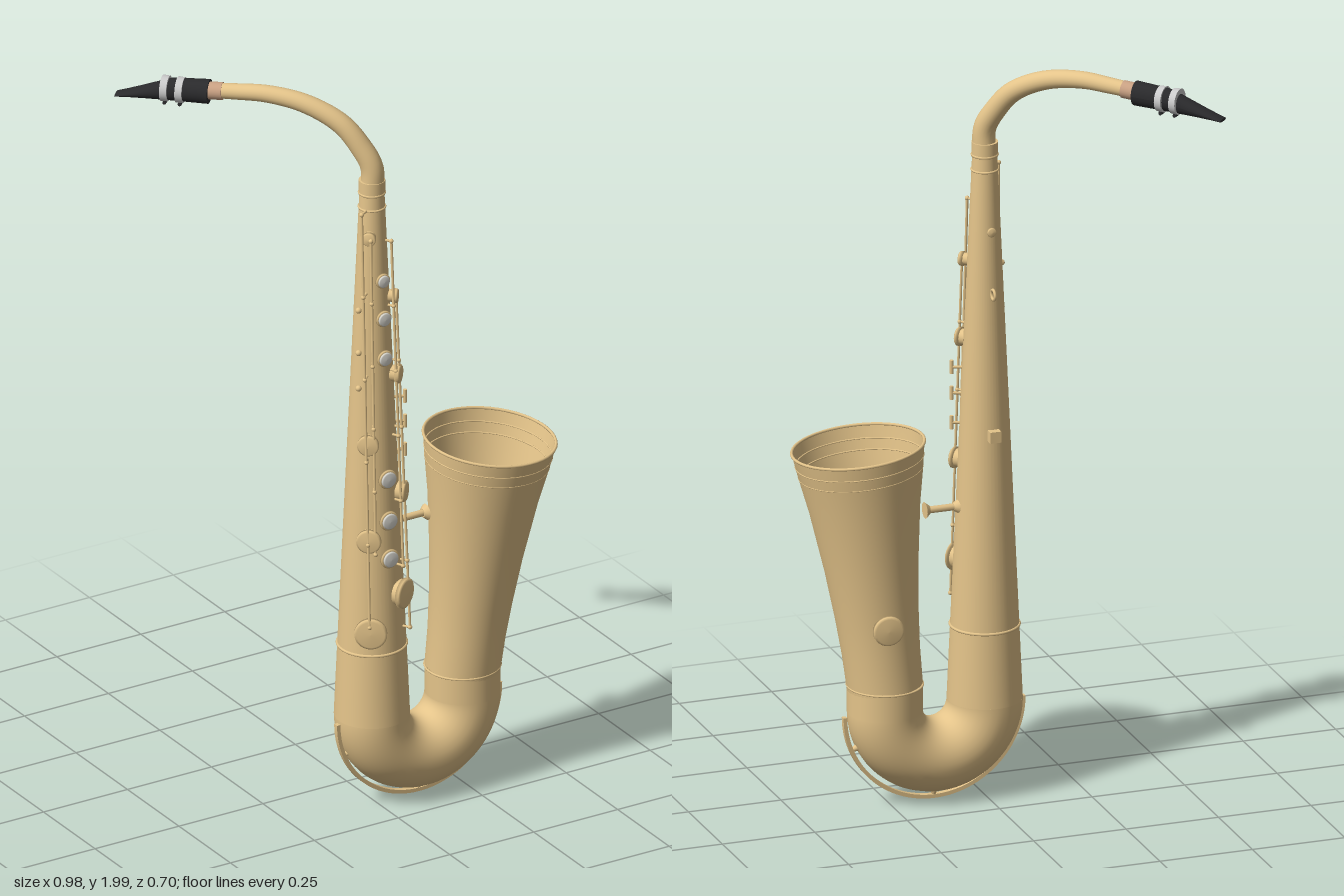
import * as THREE from 'three';

const BRASS = new THREE.MeshStandardMaterial({ color: 0xe4c48a, side: THREE.DoubleSide });
const BLACK = new THREE.MeshStandardMaterial({ color: 0x2a2a2c });
const SILVER = new THREE.MeshStandardMaterial({ color: 0xc4c6c6 });
const CORK = new THREE.MeshStandardMaterial({ color: 0xc9a183 });
const PEARL = new THREE.MeshStandardMaterial({ color: 0xdcdad2 });

const V = (x, y, z) => new THREE.Vector3(x, y, z);
const UP = V(0, 1, 0);
const BX = -0.01, BZ = 0.138; // body axis
const Y0 = 0.26, Y1 = 1.73, R0 = 0.097, R1 = 0.032;
const bodyR = y => R0 + (R1 - R0) * (y - Y0) / (Y1 - Y0);

export function createModel() {
  const root = new THREE.Group();

  const add = (name, geo, mat = BRASS, parent = root) => {
    const m = new THREE.Mesh(geo, mat);
    m.name = name;
    parent.add(m);
    return m;
  };
  // Straight bar between two points
  const bar = (name, a, b, r, r2 = r, mat = BRASS, seg = 10) => {
    const m = add(name, new THREE.CylinderGeometry(r2, r, a.distanceTo(b), seg), mat);
    m.position.copy(a).lerp(b, 0.5);
    m.quaternion.setFromUnitVectors(UP, b.clone().sub(a).normalize());
    return m;
  };
  const ball = (name, p, r, mat = BRASS) => add(name, new THREE.SphereGeometry(r, 12, 8), mat).position.copy(p);
  const hoop = (name, p, axis, r, t) => {
    const m = add(name, new THREE.TorusGeometry(r, t, 8, 48));
    m.position.copy(p);
    m.quaternion.setFromUnitVectors(V(0, 0, 1), axis);
  };
  // Shallow domed disc facing along n
  const disc = (name, p, n, r, h, mat = BRASS) => {
    const prof = [[0, 0], [r, 0], [r, h * 0.65], [r * 0.85, h * 0.9], [0, h]].map(q => new THREE.Vector2(...q));
    const m = add(name, new THREE.LatheGeometry(prof, 24), mat);
    m.position.copy(p);
    m.quaternion.setFromUnitVectors(UP, n);
  };

  // Conical body
  const body = add('body', new THREE.CylinderGeometry(R1, R0, Y1 - Y0, 48, 1, true));
  body.position.set(BX, (Y0 + Y1) / 2, BZ);
  for (const [y, t] of [[0.46, 0.004], [1.69, 0.003], [1.73, 0.004]])
    hoop('bodyRing', V(BX, y, BZ), UP, bodyR(y), t);

  // U-shaped bow
  const bow = add('bow', new THREE.TorusGeometry(0.135, R0, 32, 48, Math.PI));
  bow.rotation.z = Math.PI;
  bow.position.set(0.125, Y0, BZ);
  const collar = add('bowCollar', new THREE.CylinderGeometry(R0, R0, 0.075, 48, 1, true));
  collar.position.set(0.26, 0.295, BZ);
  hoop('bellRing', V(0.26, 0.33, BZ), UP, R0, 0.003);

  // Flared bell, leaning outward
  const bellA = V(0.26, 0.325, BZ), bellB = V(0.32, 0.967, 0.172);
  const bellDir = bellB.clone().sub(bellA), bellLen = bellDir.length();
  bellDir.normalize();
  const flare = [[0, R0], [0.15, 0.1], [0.3, 0.107], [0.5, 0.12], [0.75, 0.142], [0.9, 0.16], [1, 0.17]];
  const bell = add('bell', new THREE.LatheGeometry(flare.map(([t, r]) => new THREE.Vector2(r, t * bellLen)), 64));
  bell.position.copy(bellA);
  bell.quaternion.setFromUnitVectors(UP, bellDir);
  for (const [t, r, w] of [[1, 0.17, 0.004], [0.945, 0.164, 0.002], [0.9, 0.159, 0.002]])
    hoop('bellRimRing', bellA.clone().lerp(bellB, t), bellDir, r, w);

  // Key cup at the back of the bell
  disc('bellKeyCup', V(0.285, 0.51, 0.046), V(0.1, -0.05, -1).normalize(), 0.04, 0.016);

  // Brace between body and bell
  bar('bellBrace', V(0.04, 0.785, BZ), V(0.15, 0.785, BZ), 0.009);
  bar('braceFlange', V(0.14, 0.785, BZ), V(0.152, 0.785, BZ), 0.012, 0.022);
  bar('braceFlange', V(0.075, 0.785, BZ), V(0.06, 0.785, BZ), 0.01, 0.02);

  // Guard strip under the bow with its posts
  const strip = new THREE.Shape();
  strip.absarc(0, 0, 0.246, Math.PI, 2 * Math.PI, false);
  strip.absarc(0, 0, 0.236, 2 * Math.PI, Math.PI, true);
  const guard = add('bowGuard', new THREE.ExtrudeGeometry(strip, { depth: 0.014, bevelEnabled: false, curveSegments: 40 }));
  guard.position.set(0.128, 0.252, BZ - 0.007);
  for (const a of [-2.75, -Math.PI / 2, -0.39]) {
    const at = r => V(0.128 + r * Math.cos(a), 0.252 + r * Math.sin(a), BZ);
    bar('guardPost', at(0.215), at(0.24), 0.012, 0.005);
  }

  // Curved neck, tapering along its length
  const across = (s, y) => V(BX - 0.7 * s, y, BZ - 0.714 * s);
  const path = new THREE.CatmullRomCurve3([[0, 1.72], [0, 1.8], [0.03, 1.855], [0.08, 1.912], [0.17, 1.957],
    [0.27, 1.974], [0.36, 1.971], [0.45, 1.965]].map(q => across(...q)));
  const N = 40, M = 24;
  const neckGeo = new THREE.TubeGeometry(path, N, 1, M);
  const pos = neckGeo.attributes.position, v = V(0, 0, 0);
  for (let i = 0; i <= N; i++) {
    const c = path.getPointAt(i / N);
    for (let j = 0; j <= M; j++) {
      const k = i * (M + 1) + j;
      v.fromBufferAttribute(pos, k).sub(c).multiplyScalar(0.031 - 0.012 * i / N).add(c);
      pos.setXYZ(k, v.x, v.y, v.z);
    }
  }
  add('neck', neckGeo);
  bar('neckSocket', V(BX, 1.725, BZ), V(BX, 1.765, BZ), 0.034, 0.034, BRASS, 32);
  bar('cork', across(0.39, 1.968), across(0.45, 1.965), 0.023, 0.023, CORK, 24);

  // Mouthpiece: a round shank flattening into a beak
  const mouth = new THREE.Group();
  mouth.name = 'mouthpiece';
  mouth.position.copy(across(0.425, 1.963));
  mouth.rotation.y = 2.346;
  root.add(mouth);
  const L = 0.245;
  const beak = new THREE.CylinderGeometry(1, 1, 1, 28, 12);
  const bp = beak.attributes.position;
  for (let i = 0; i < bp.count; i++) {
    const t = 0.5 - bp.getY(i);
    const top = t < 0.4 ? 0.032 - 0.015 * t : 0.026 - 0.057 * (t - 0.4) / 0.6;
    const low = -0.032 - 0.006 * t;
    const w = 0.031 - 0.013 * t;
    bp.setXYZ(i, t * L, (top + low) / 2 + bp.getX(i) * (top - low) / 2, bp.getZ(i) * w);
  }
  beak.computeVertexNormals();
  add('mouthpieceBody', beak, BLACK, mouth);
  for (const x of [0.075, 0.115]) {
    const band = add('ligatureBand', new THREE.CylinderGeometry(0.033, 0.034, 0.018, 28), SILVER, mouth);
    band.rotation.z = Math.PI / 2;
    band.position.set(x, -0.004, 0);
    const screw = add('ligatureScrew', new THREE.CylinderGeometry(0.005, 0.005, 0.03, 10), BLACK, mouth);
    screw.rotation.x = Math.PI / 2;
    screw.position.set(x, -0.039, 0);
  }

  // Key cups and finger pearls on the front: x, y, radius
  const onFront = (x, y, h) => {
    const r = bodyR(y), a = Math.asin(Math.max(-0.95, Math.min(0.95, (x - BX) / (r + h))));
    const n = V(Math.sin(a), 0, Math.cos(a));
    return { n, base: V(BX, y, BZ).addScaledVector(n, r - 0.004), p: V(BX, y, BZ).addScaledVector(n, r + h) };
  };
  const cups = [[-0.04, 1.62, 0.018], [0.033, 1.44, 0.019], [0.035, 1.225, 0.025], [-0.055, 1.05, 0.028],
    [0.045, 0.895, 0.028], [-0.06, 0.785, 0.032], [0.033, 0.62, 0.04], [-0.062, 0.53, 0.042]];
  for (const [x, y, r] of cups) {
    const k = onFront(x, y, 0.01);
    bar('toneHole', k.base, k.p, r * 0.85, r * 0.85, BRASS, 24);
    disc('keyCup', k.p, k.n, r, 0.014);
  }
  const pearls = [[1.5, 0.02], [1.395, 0.022], [1.285, 0.022], [0.95, 0.026], [0.835, 0.026], [0.73, 0.026]];
  for (const [y, r] of pearls) {
    const k = onFront(BX, y, 0.008);
    bar('pearlStem', k.base, k.p, r * 0.6);
    disc('pearlHolder', k.p, k.n, r, 0.008);
    disc('pearl', k.p.clone().addScaledVector(k.n, 0.004), k.n, r * 0.82, 0.01, PEARL);
  }

  // Long key rods on posts
  const rods = [[V(-0.06, 1.69, 0.17), V(-0.07, 0.55, 0.225)], [V(-0.045, 1.62, 0.19), V(-0.05, 0.75, 0.222)],
    [V(0.035, 1.45, 0.182), V(0.052, 0.52, 0.222)], [V(0.022, 1.6, 0.18), V(0.03, 0.7, 0.225)]];
  for (const [a, b] of rods) {
    bar('keyRod', a, b, 0.0035, 0.0035, BRASS, 8);
    for (let i = 0; i <= 5; i++) {
      const p = a.clone().lerp(b, i / 5);
      bar('rodPost', V(BX, p.y, BZ).lerp(p, 0.55), p, 0.004, 0.003, BRASS, 8);
      ball('rodPostHead', p, 0.006);
    }
  }
  // Short side posts and levers
  for (const y of [1.0, 1.08, 1.15]) {
    bar('sidePost', V(0.03, y, 0.16), V(0.066, y, 0.175), 0.004);
    bar('sideLever', V(0.066, y - 0.018, 0.175), V(0.066, y + 0.018, 0.175), 0.005);
  }
  for (const y of [1.2, 1.3, 1.42]) ball('sideKey', V(-0.066, y, 0.165), 0.008);

  // Back fittings: strap ring, octave key and thumb hook
  hoop('strapRing', V(BX, 1.37, 0.074), V(1, 0, 0), 0.013, 0.004);
  bar('octavePost', V(BX, 1.535, 0.105), V(BX, 1.535, 0.085), 0.005);
  disc('octaveKey', V(BX, 1.535, 0.09), V(0, 0, -1), 0.012, 0.01);
  const hook = add('thumbHook', new THREE.BoxGeometry(0.03, 0.03, 0.026));
  hook.position.set(BX, 0.99, 0.068);

  return root;
}
